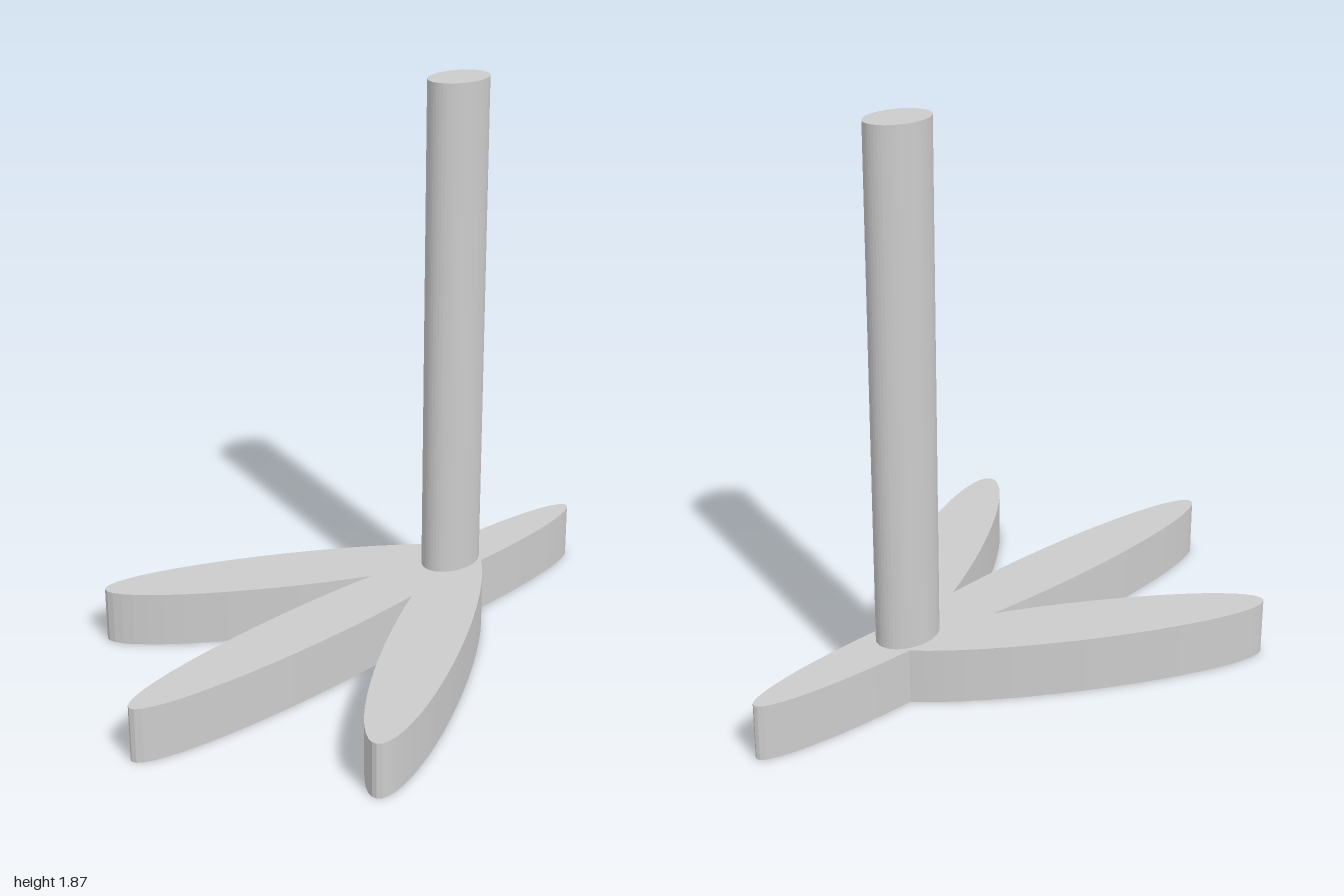
import * as THREE from 'three';

const material = new THREE.MeshStandardMaterial({ color: 0xcccccc, flatShading: true });

// Upright prism with an elliptical cross-section; turn is its heading about y
function ellipsePrism(name, rx, rz, y0, y1, x, z, turn = 0) {
  const geometry = new THREE.CylinderGeometry(1, 1, y1 - y0, 48);
  geometry.scale(rx, 1, rz);
  const mesh = new THREE.Mesh(geometry, material);
  mesh.name = name;
  mesh.position.set(x, (y0 + y1) / 2, z);
  mesh.rotation.y = turn;
  return mesh;
}

export function createModel() {
  const model = new THREE.Group();
  model.name = 'birdFoot';
  const toeTop = 0.187;

  // Toes: one forward, one backward, and a mirrored splayed pair
  model.add(ellipsePrism('middleToe', 0.11, 0.75, 0, toeTop, 0, 0.25));
  model.add(ellipsePrism('backToe', 0.083, 0.55, 0, toeTop, 0, -0.45));
  for (const [name, side] of [['leftToe', 1], ['rightToe', -1]]) {
    model.add(ellipsePrism(name, 0.12, 0.64, 0, toeTop, side * 0.32, 0.056, side * 0.541));
  }

  // Leg rising from where the toes meet
  model.add(ellipsePrism('leg', 0.083, 0.114, 0.1, 1.87, 0, -0.386));
  return model;
}
